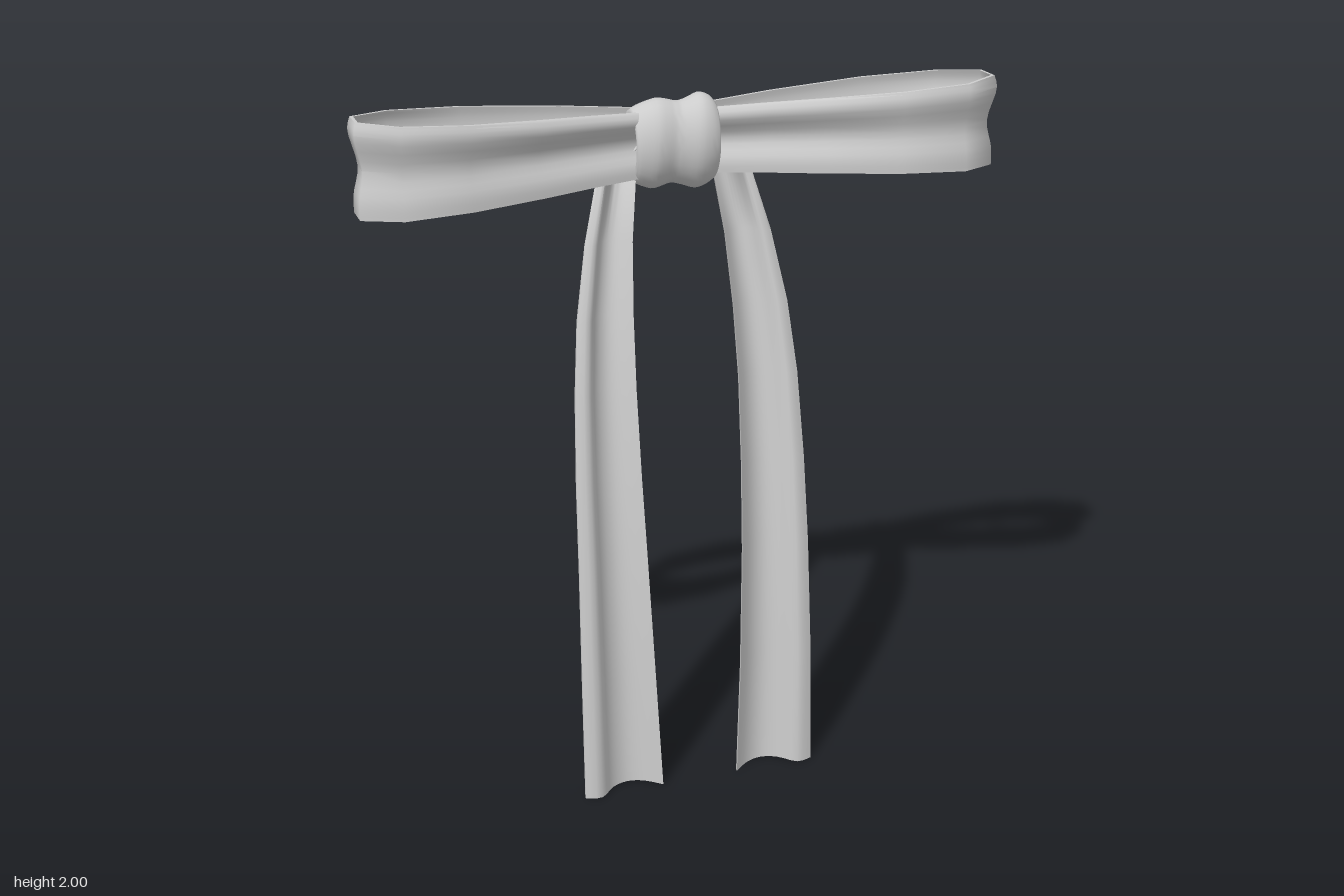
import * as THREE from 'three';
import { toCreasedNormals } from 'three/addons/utils/BufferGeometryUtils.js';

const material = new THREE.MeshStandardMaterial({ color: 0xcccccc, side: THREE.DoubleSide });

// Skin a list of closed rings; the caps join the two rows of a ribbon section.
function skin(rings, name, capped) {
  const n = rings[0].length, last = (rings.length - 1) * n, index = [];
  const quad = (a, b, c, d) => index.push(a, b, c, a, c, d);
  for (let i = 0; i < rings.length - 1; i++) {
    for (let j = 0; j < n; j++) {
      const k = (j + 1) % n, a = i * n;
      quad(a + j, a + k, a + n + k, a + n + j);
    }
  }
  if (capped) {
    for (let j = 0; j < n / 2 - 1; j++) {
      const p = n - 1 - j;
      quad(j, p, p - 1, j + 1);
      quad(last + j, last + j + 1, last + p - 1, last + p);
    }
  }
  const geometry = new THREE.BufferGeometry();
  geometry.setAttribute('position', new THREE.Float32BufferAttribute(rings.flat(2), 3));
  geometry.setIndex(index);
  const mesh = new THREE.Mesh(toCreasedNormals(geometry, 1.1), material);
  mesh.name = name;
  return mesh;
}

// Mirror rings about x = cx, reversing each ring so the faces stay outward.
const mirror = (rings, cx) =>
  rings.map((ring) => ring.map(([x, y, z]) => [2 * cx - x, y, z]).reverse());

// Smooth curve through [t, value] pairs, sampled evenly
function sample(points, count) {
  const curve = new THREE.SplineCurve(points.map((p) => new THREE.Vector2(...p)));
  return curve.getPoints(count);
}

// Bow loop: a vertical ribbon following a path in plan, front strand first
function loopRings() {
  const path = [
    [0.0, -0.085], [0.11, -0.06], [0.25, -0.02], [0.4, 0.03], [0.6, 0.088], [0.78, 0.106],
    [0.878, 0.055], [0.878, -0.02], [0.775, -0.092], [0.57, -0.142], [0.3, -0.148],
    [0.11, -0.13], [0.0, -0.12],
  ];
  const fold = sample([[0, 0], [0.16, 0.008], [0.5, -0.014], [0.8, 0.002], [1, 0.004]], 14);
  const half = 0.005;
  return path.map(([x, z], i) => {
    const a = path[Math.max(i - 1, 0)], b = path[Math.min(i + 1, path.length - 1)];
    const len = Math.hypot(b[0] - a[0], b[1] - a[1]);
    const nx = -(b[1] - a[1]) / len, nz = (b[0] - a[0]) / len;
    const w = x / 0.88, top = 1.935 + 0.065 * w, bottom = 1.768 - 0.018 * w;
    const depth = i < 4 ? 1.5 : i < 9 ? 1 : 0.4;
    const point = (f, side) => {
      const d = f.y * depth + side * half;
      return [x + nx * d, top + (bottom - top) * f.x, z + nz * d];
    };
    return [...fold.map((f) => point(f, 1)), ...[...fold].reverse().map((f) => point(f, -1))];
  });
}

// Hanging tail: a folded ribbon, widening and swinging forward as it falls
function tailRings() {
  // y, inner x, outer x, z
  const stations = [
    [1.86, 0.02, 0.09, -0.095], [1.77, 0.105, 0.215, -0.08], [1.6, 0.128, 0.262, -0.044],
    [1.4, 0.14, 0.3, -0.005], [1.2, 0.145, 0.32, 0.03], [0.95, 0.143, 0.332, 0.065],
    [0.7, 0.137, 0.338, 0.096], [0.35, 0.125, 0.344, 0.123], [0, 0.11, 0.346, 0.14],
  ];
  const fold = sample([[1, 0.02], [0.8, 0.029], [0.6, -0.015], [0.4, -0.031], [0.2, -0.018], [0, 0.02]], 15);
  return stations.map(([y, inner, outer, z]) => {
    const depth = 0.35 + 0.65 * Math.min(1, (outer - inner) / 0.23);
    const point = (f, side) => [inner + (outer - inner) * f.x, y, z + f.y * depth + side * 0.004];
    return [...fold.map((f) => point(f, 1)), ...[...fold].reverse().map((f) => point(f, -1))];
  });
}

// Knot: a hollow oval band with two slightly slanted rolls
function knotRings() {
  const profile = sample([
    [-0.122, 0.78], [-0.105, 0.88], [-0.06, 1.0], [-0.03, 0.97], [0, 0.91],
    [0.03, 0.97], [0.065, 1.07], [0.095, 1.0], [0.113, 0.87],
  ], 24);
  const ring = (x, r) => Array.from({ length: 28 }, (_, j) => {
    const a = (j / 28) * Math.PI * 2;
    const slant = 0.012 * Math.cos(a) * (1 - (x / 0.122) ** 2) - 0.012 * Math.sin(a) * (1 - (x / 0.122) ** 2);
    return [x + slant, 1.85 + 0.122 * r * Math.cos(a), -0.09 + 0.085 * r * Math.sin(a)];
  });
  const outer = profile.map((p) => ring(p.x, p.y));
  const inner = [...profile].reverse().map((p) => ring(p.x, p.y - 0.1));
  return [...outer, ...inner, outer[0]];
}

export function createModel() {
  const bow = new THREE.Group();
  bow.name = 'ribbonBow';
  const loop = loopRings(), tail = tailRings();
  bow.add(
    skin(loop, 'leftLoop', true),
    skin(mirror(loop, 0), 'rightLoop', true),
    skin(tail, 'leftTail', true),
    skin(mirror(tail, -0.005), 'rightTail', true),
    skin(knotRings(), 'knot', false),
  );
  return bow;
}
